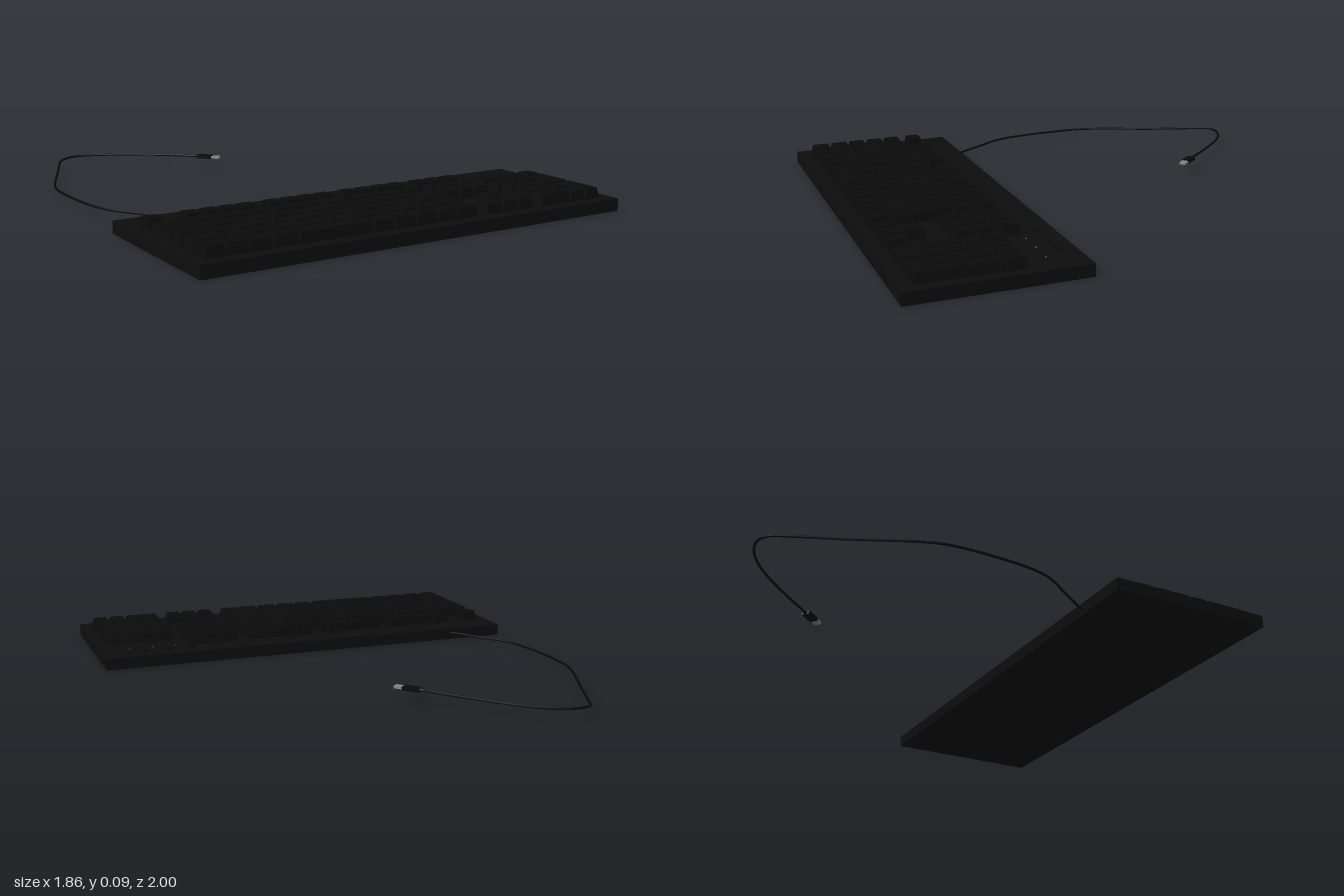
import * as THREE from 'three';

const BODY_TOP = 0.05, KEY_TOP = 0.09;
const mat = (color) => new THREE.MeshStandardMaterial({ color });

export function createModel() {
  const model = new THREE.Group();
  const caseMat = mat(0x0d0d0d), keyMat = mat(0x0b0b0b), cableMat = mat(0x080808);
  const metalMat = mat(0x8c8880), lampMat = mat(0x555555);

  const add = (parent, name, geometry, material, x = 0, y = 0, z = 0) => {
    const mesh = new THREE.Mesh(geometry, material);
    mesh.name = name;
    mesh.position.set(x, y, z);
    parent.add(mesh);
    return mesh;
  };
  const group = (name, parent = model) => {
    const g = new THREE.Group();
    g.name = name;
    parent.add(g);
    return g;
  };

  // Flat slab case
  add(model, 'case', new THREE.BoxGeometry(1.86, BODY_TOP, 0.7), caseMat, 0, BODY_TOP / 2, 0.65);

  // Keycap: the outline is its top, and the bevel widens it down to the case
  const taper = 0.008;
  const keycap = (parent, name, corners) => {
    const shape = new THREE.Shape(corners.map(([x, z]) => new THREE.Vector2(x, -z)));
    const geo = new THREE.ExtrudeGeometry(shape, {
      depth: 0.002, bevelThickness: 0.038, bevelSize: taper, bevelSegments: 1, steps: 1,
    });
    geo.rotateX(-Math.PI / 2);
    add(parent, name, geo, keyMat, 0, KEY_TOP - 0.04, 0);
  };
  const inset = taper + 0.002;
  const key = (parent, x0, x1, z0, z1, name = 'key') => {
    const a = x0 + inset, b = x1 - inset, c = z0 + inset, d = z1 - inset;
    keycap(parent, name, [[a, c], [a, d], [b, d], [b, c]]);
  };
  // A run of keys between successive x edges
  const run = (parent, edges, z0, z1) => {
    for (let i = 0; i < edges.length - 1; i++) key(parent, edges[i], edges[i + 1], z0, z1);
  };
  const even = (start, pitch, n) => Array.from({ length: n + 1 }, (_, i) => start + pitch * i);

  const L = -0.885, R = 0.265, U = 0.0767;
  const Z = [0.53, 0.61, 0.692, 0.774, 0.857, 0.945]; // row edges, back to front
  const F0 = 0.43, F1 = 0.505;                        // function row

  // Function row: escape and three banks of four
  const functionKeys = group('functionKeys');
  key(functionKeys, L, L + U, F0, F1, 'escapeKey');
  for (const start of [2, 6.5, 11]) run(functionKeys, even(L + start * U, U, 4), F0, F1);

  // Main block
  const mainKeys = group('mainKeys');
  run(mainKeys, [...even(L, 0.0764, 14), R], Z[0], Z[1]);
  run(mainKeys, [L, ...even(-0.791, 0.0786, 12)], Z[1], Z[2]);
  run(mainKeys, [L, ...even(-0.765, 0.0797, 11)], Z[2], Z[3]);
  run(mainKeys, [L, ...even(-0.733, 0.0786, 10), R], Z[3], Z[4]);
  run(mainKeys, [L, -0.8, -0.71, -0.62, -0.52], Z[4], Z[5]);
  key(mainKeys, -0.52, -0.208, Z[4], Z[5], 'spaceBar');
  run(mainKeys, [-0.208, -0.118, -0.02, 0.077, 0.171, R], Z[4], Z[5]);

  // L-shaped enter key
  const e0 = 0.1117 + inset, e1 = 0.1522 + inset, eR = R - inset;
  keycap(mainKeys, 'enterKey', [
    [e1, Z[1] + inset], [e1, Z[2] + inset], [e0, Z[2] + inset],
    [e0, Z[3] - inset], [eR, Z[3] - inset], [eR, Z[1] + inset],
  ]);

  // Navigation block and arrows
  const navigationKeys = group('navigationKeys');
  const nav = even(0.307, 0.0765, 3);
  run(navigationKeys, nav, F0, F1);
  run(navigationKeys, nav, Z[0], Z[1]);
  run(navigationKeys, nav, Z[1], Z[2]);
  run(navigationKeys, nav.slice(1, 3), Z[3], Z[4]);
  run(navigationKeys, nav, Z[4], Z[5]);

  // Number pad with tall and wide keys
  const numberPad = group('numberPad');
  const pad = even(0.575, 0.0775, 4);
  run(numberPad, pad, Z[0], Z[1]);
  for (let r = 1; r < 4; r++) run(numberPad, pad.slice(0, 4), Z[r], Z[r + 1]);
  run(numberPad, [pad[0], pad[2], pad[3]], Z[4], Z[5]);
  key(numberPad, pad[3], pad[4], Z[1], Z[3], 'tallKey');
  key(numberPad, pad[3], pad[4], Z[3], Z[5], 'tallKey');

  // Round buttons and indicator lamps
  const controls = group('controls');
  for (const x of [0.546, 0.651, 0.748])
    add(controls, 'roundButton', new THREE.CylinderGeometry(0.013, 0.014, 0.02, 20), keyMat, x, 0.052, 0.373);
  for (const x of [0.598, 0.7, 0.803])
    add(controls, 'indicatorLamp', new THREE.CylinderGeometry(0.004, 0.004, 0.004, 12), lampMat, x, 0.051, 0.438);

  // Cable leaving the back edge and looping round to the plug
  const path = [
    [-0.67, 0.03, 0.32], [-0.76, 0.03, 0.18], [-0.84, 0.03, 0.055], [-0.868, 0.03, -0.04],
    [-0.885, 0.03, -0.23], [-0.88, 0.03, -0.4], [-0.855, 0.03, -0.49], [-0.75, 0.03, -0.735],
    [-0.665, 0.034, -0.93], [-0.642, 0.037, -0.967], [-0.585, 0.042, -0.995], [-0.515, 0.044, -0.986],
    [-0.44, 0.046, -0.95], [-0.37, 0.049, -0.9], [-0.235, 0.055, -0.77], [-0.1, 0.06, -0.62],
  ].map((p) => new THREE.Vector3(...p));
  add(model, 'cable', new THREE.TubeGeometry(new THREE.CatmullRomCurve3(path), 120, 0.005, 8), cableMat);

  // Plug, built along +z and then turned to follow the cable end
  const plug = group('plug');
  plug.position.set(-0.11, 0.06, -0.632);
  plug.rotation.y = Math.atan2(0.075, 0.09);
  const relief = add(plug, 'strainRelief', new THREE.CylinderGeometry(0.009, 0.006, 0.03, 12), cableMat, 0, 0, 0.005);
  relief.rotation.x = Math.PI / 2;
  add(plug, 'plugGrip', new THREE.BoxGeometry(0.034, 0.015, 0.07), cableMat, 0, 0, 0.045);
  add(plug, 'plugShell', new THREE.BoxGeometry(0.028, 0.01, 0.04), metalMat, 0, 0, 0.097);

  return model;
}
